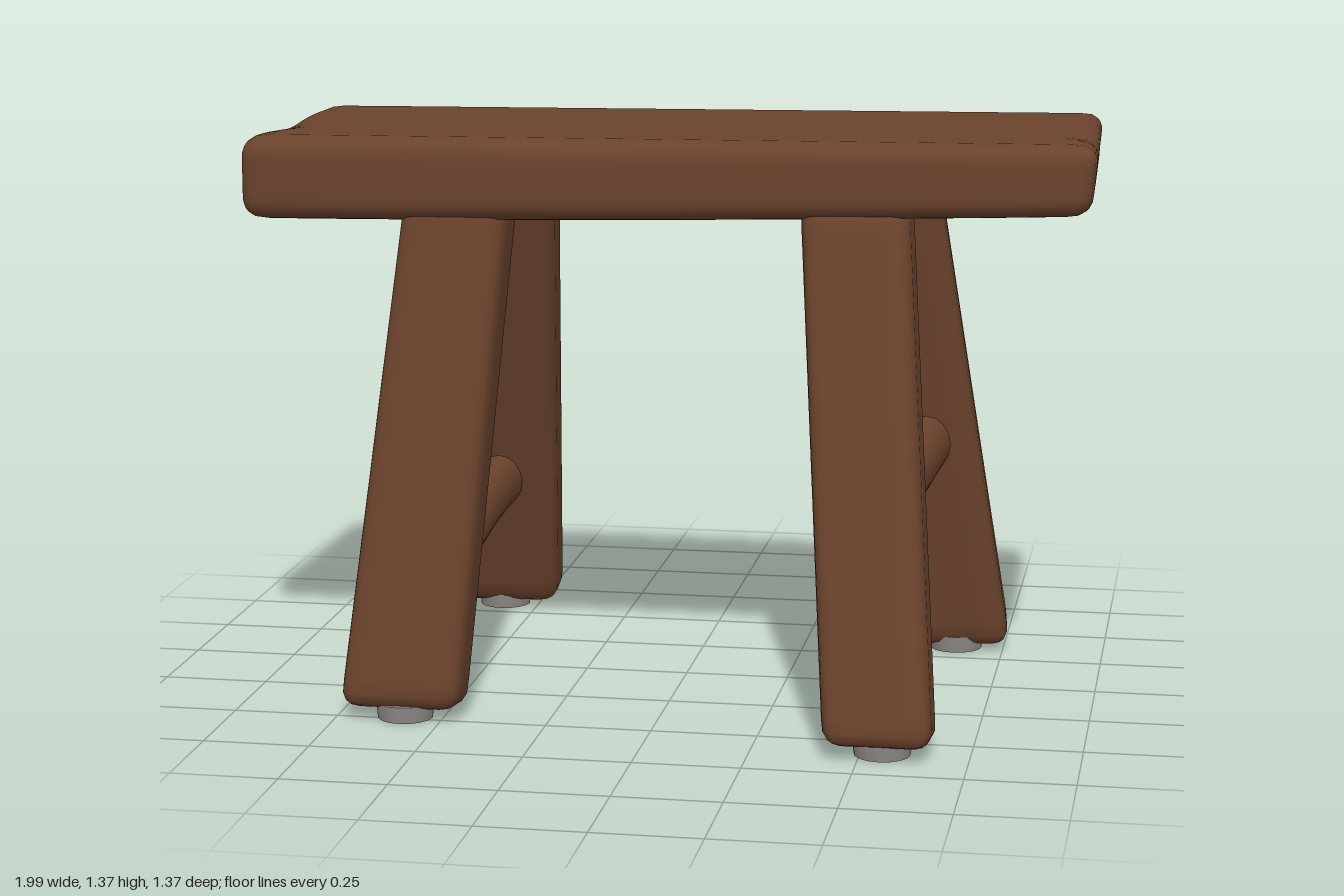
import * as THREE from 'three';
import { mergeVertices } from 'three/addons/utils/BufferGeometryUtils.js';

const wood = new THREE.MeshStandardMaterial({ color: 0x6b432d });
wood.name = 'brown wood';
const padGrey = new THREE.MeshStandardMaterial({ color: 0x8f8a86 });
padGrey.name = 'grey pad';

const { lerp, clamp } = THREE.MathUtils;

// Box with rounded edges whose vertices are then moved by a rule(point)
function softBox(w, h, d, r, segs, rule) {
  const geo = new THREE.BoxGeometry(w, h, d, ...segs);
  geo.deleteAttribute('uv');
  geo.deleteAttribute('normal');
  const merged = mergeVertices(geo, 1e-4);
  const pos = merged.attributes.position;
  const half = new THREE.Vector3(w / 2 - r, h / 2 - r, d / 2 - r);
  const p = new THREE.Vector3(), inner = new THREE.Vector3();
  for (let i = 0; i < pos.count; i++) {
    p.fromBufferAttribute(pos, i);
    inner.set(clamp(p.x, -half.x, half.x), clamp(p.y, -half.y, half.y), clamp(p.z, -half.z, half.z));
    p.sub(inner).setLength(r).add(inner);
    rule(p);
    pos.setXYZ(i, p.x, p.y, p.z);
  }
  merged.computeVertexNormals();
  return merged;
}

function addMesh(parent, name, geo, material) {
  const mesh = new THREE.Mesh(geo, material);
  mesh.name = name;
  parent.add(mesh);
  return mesh;
}

// Seat plank: slightly tilted, thinner at one end, hollowed at both ends
function seatRule(p) {
  const t = (p.x + 1) / 2;
  const v = (p.y + 0.1) / 0.2;
  const end = clamp((Math.abs(p.x) - 0.8) / 0.2, 0, 1);
  const dip = 0.018 * end * end * Math.exp(-(((p.z - 0.06) / 0.13) ** 2));
  const bottom = 1.155 + 0.055 * t ** 1.4;
  const top = lerp(1.352, 1.372, t) - dip;
  p.y = lerp(bottom, top, v);
  const back = clamp(0.5 - p.z / 0.72, 0, 1);
  p.x -= Math.sign(p.x) * end * (0.025 * back + (t > 0.5 ? 0.015 * (1 - v) : 0));
  p.z = p.z * lerp(0.965, 0.99, t) + lerp(0.025, 0.055, t);
}

// Splayed legs: top and bottom centres [x, z], width and depth at the foot, turn
const legs = [
  { name: 'frontLeftLeg', top: [0.445, 0.295], foot: [0.545, 0.605], w: 0.25, d: 0.17, turn: 0, pad: [0.55, 0.59] },
  { name: 'backLeftLeg', top: [0.46, -0.19], foot: [0.635, -0.39], w: 0.255, d: 0.185, turn: 0.1, pad: [0.63, -0.36] },
  { name: 'frontRightLeg', top: [-0.485, 0.275], foot: [-0.595, 0.48], w: 0.285, d: 0.15, turn: 0, pad: [-0.59, 0.48] },
  { name: 'backRightLeg', top: [-0.49, -0.22], foot: [-0.588, -0.612], w: 0.285, d: 0.16, turn: 0.06, pad: [-0.59, -0.6] },
];

function legGeometry({ top, foot, w, d, turn }) {
  const y0 = 0.025, y1 = 1.24;
  const side = Math.sign(foot[1]);
  return softBox(w, y1 - y0, d, 0.042, [12, 40, 8], (p) => {
    const t = 0.5 - p.y / (y1 - y0);
    const sx = lerp(0.25 / w, 1, t);
    const sz = lerp(0.175 / d, 1, t);
    const x = p.x * sx, z = p.z * sz;
    const c = Math.cos(turn), s = Math.sin(turn);
    // the sole is cut a little higher on its outer edge
    p.y += (y0 + y1) / 2 + 0.15 * side * z * t * t;
    p.x = lerp(top[0], foot[0], t) + x * c + z * s;
    p.z = lerp(top[1], foot[1], t) - x * s + z * c;
  });
}

// Bowed rails joining the front and back legs, as [x, y, z] points
const rails = [
  { name: 'leftRail', r: 0.073, pts: [[0.505, 0.505, 0.43], [0.52, 0.52, 0.3], [0.545, 0.536, 0.02], [0.56, 0.55, -0.18], [0.57, 0.555, -0.3]] },
  { name: 'rightRail', r: 0.07, pts: [[-0.57, 0.27, 0.44], [-0.565, 0.3, 0.32], [-0.56, 0.328, 0.18], [-0.555, 0.348, 0], [-0.555, 0.37, -0.2], [-0.56, 0.375, -0.5]] },
];

export function createModel() {
  const stool = new THREE.Group();
  stool.name = 'stool';

  addMesh(stool, 'seat', softBox(2, 0.2, 0.74, 0.05, [64, 10, 28], seatRule), wood);

  for (const leg of legs) {
    addMesh(stool, leg.name, legGeometry(leg), wood);
    // small foot pad under the leg
    const pad = addMesh(stool, leg.name + 'Pad', new THREE.CylinderGeometry(0.07, 0.065, 0.04, 16), padGrey);
    pad.position.set(leg.pad[0], 0.02, leg.pad[1]);
  }

  for (const { name, r, pts } of rails) {
    const midX = pts[2][0];
    const flat = 0.8;
    const curve = new THREE.CatmullRomCurve3(pts.map(([x, y, z]) => new THREE.Vector3((x - midX) / flat, y, z)));
    const geo = new THREE.TubeGeometry(curve, 32, r, 16);
    geo.scale(flat, 1, 1);
    addMesh(stool, name, geo, wood).position.x = midX;
  }
  return stool;
}
